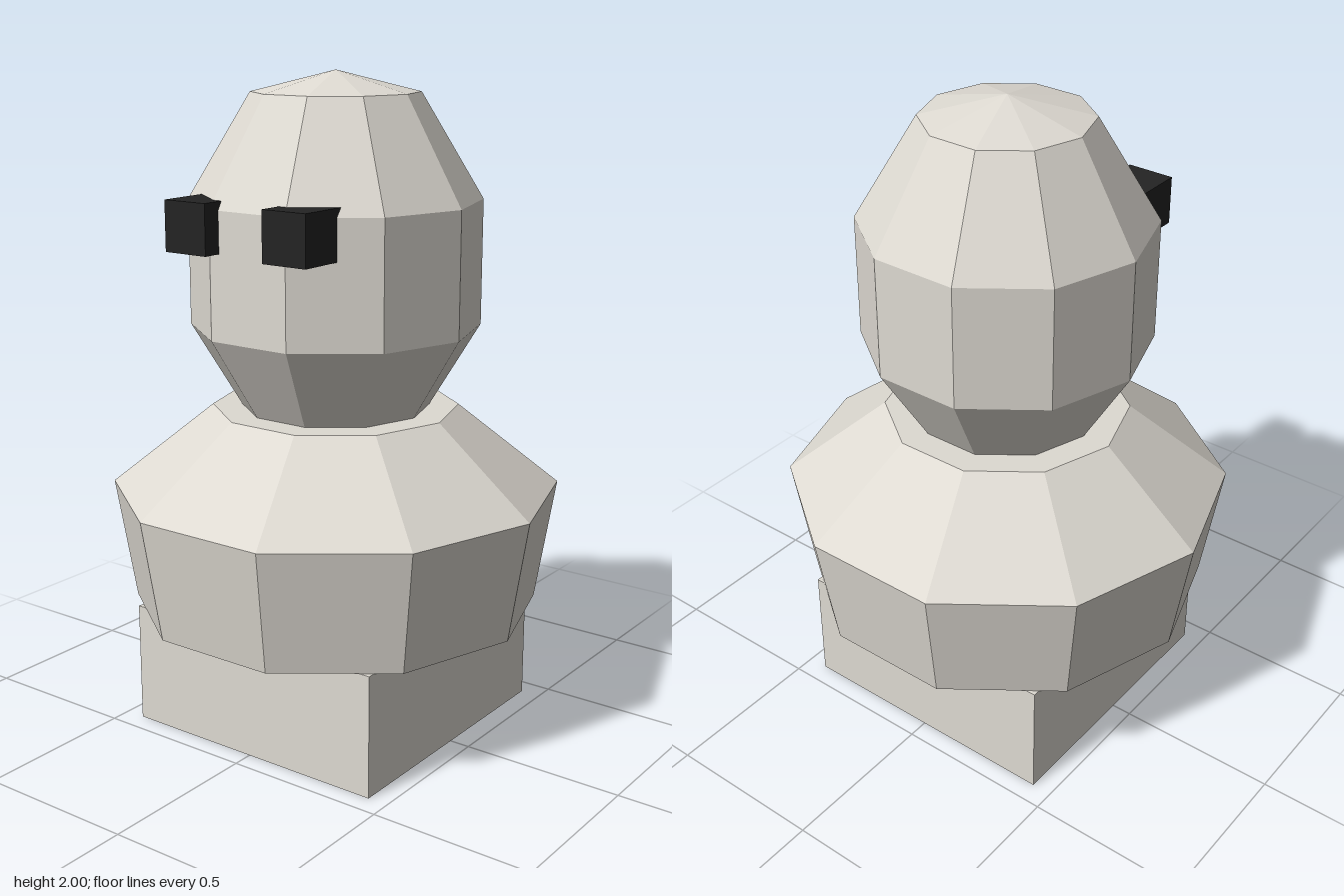
import * as THREE from 'three';

const stone = new THREE.MeshStandardMaterial({ color: 0xdedad2, flatShading: true });
stone.name = 'paleStone';
const black = new THREE.MeshStandardMaterial({ color: 0x242424, flatShading: true });
black.name = 'eyeBlack';

export function createModel() {
  const model = new THREE.Group();
  model.name = 'bust';

  const add = (name, geometry, material, x = 0, y = 0, z = 0) => {
    const mesh = new THREE.Mesh(geometry, material);
    mesh.name = name;
    mesh.position.set(x, y, z);
    model.add(mesh);
  };

  // Ten-sided turned solid from [radius, height] pairs, bottom to top, with a corner on +x
  const turned = (profile) => new THREE.LatheGeometry(
    profile.map(([r, y]) => new THREE.Vector2(r, y)), 10, Math.PI / 2);

  // Square plinth
  add('base', new THREE.BoxGeometry(0.874, 0.375, 0.874), stone, 0, 0.1875, 0);

  // Flared torso with sloping shoulders and a flat top
  add('body', turned([[0, 0.377], [0.625, 0.377], [0.686, 0.753], [0.375, 1], [0, 1]]), stone);

  // Egg-shaped head, its lower tip sunk into the body
  add('head', turned([
    [0, 0.875], [0.25, 0.94], [0.437, 1.25], [0.437, 1.627], [0.25, 1.938], [0, 2],
  ]), stone);

  // Protruding block eyes
  for (const side of [-1, 1]) {
    add(side > 0 ? 'leftEye' : 'rightEye',
      new THREE.BoxGeometry(0.148, 0.148, 0.2), black, side * 0.175, 1.579, 0.373);
  }

  return model;
}
